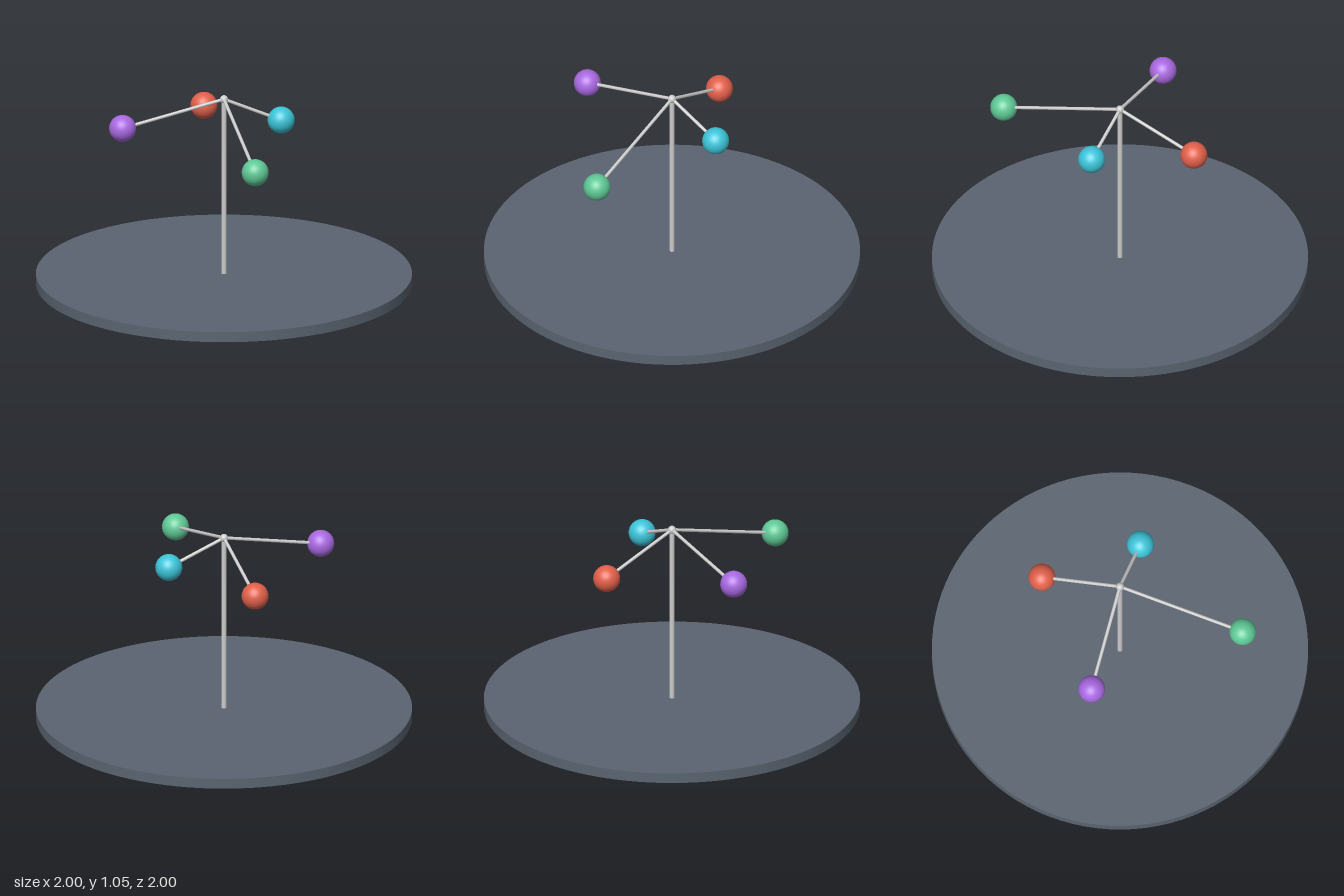
import * as THREE from 'three';

const paint = (color) => new THREE.MeshStandardMaterial({ color });

export function createModel() {
  const model = new THREE.Group();
  model.name = 'spinningBallMobile';
  const grey = paint(0xcccccc);
  const hubPoint = new THREE.Vector3(0, 1.03, 0);

  const add = (name, geometry, material, position) => {
    const mesh = new THREE.Mesh(geometry, material);
    mesh.name = name;
    mesh.position.copy(position);
    model.add(mesh);
    return mesh;
  };

  // Round base plate, standing on the ground
  const baseHeight = 0.056;
  add('base', new THREE.CylinderGeometry(1, 1, baseHeight, 96), paint(0x5a6470),
    new THREE.Vector3(0, baseHeight / 2, 0));

  // Upright pole with a small hub ball on top
  const poleHeight = hubPoint.y - baseHeight;
  add('pole', new THREE.CylinderGeometry(0.014, 0.014, poleHeight, 24), grey,
    new THREE.Vector3(0, baseHeight + poleHeight / 2, 0));
  add('hub', new THREE.SphereGeometry(0.022, 24, 16), grey, hubPoint);

  // Four drooping arms, each from the hub to the centre of a coloured ball
  const up = new THREE.Vector3(0, 1, 0);
  const balls = [
    ['purple', 0xa868e0, -0.504, 0.912, 0.235],
    ['red', 0xe0604a, -0.183, 0.859, -0.39],
    ['cyan', 0x3cc4d8, 0.289, 0.898, -0.105],
    ['green', 0x5fc896, 0.286, 0.836, 0.615],
  ];
  for (const [name, color, x, y, z] of balls) {
    const end = new THREE.Vector3(x, y, z);
    const along = end.clone().sub(hubPoint);
    const arm = add(name + 'Arm', new THREE.CylinderGeometry(0.009, 0.009, along.length(), 16), grey,
      hubPoint.clone().lerp(end, 0.5));
    arm.quaternion.setFromUnitVectors(up, along.normalize());
    add(name + 'Ball', new THREE.SphereGeometry(0.072, 40, 28), paint(color), end);
  }
  return model;
}
